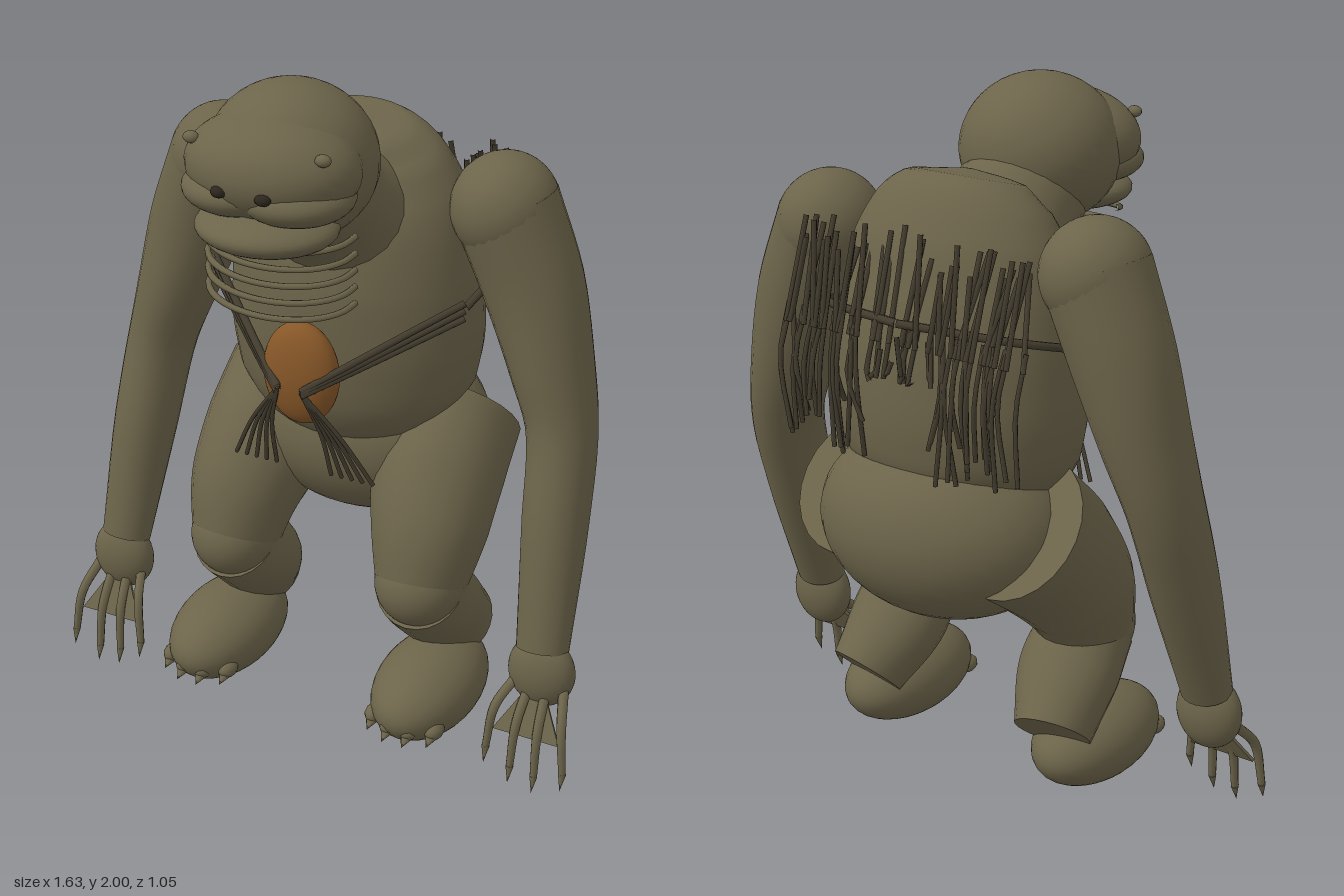
import * as THREE from 'three';

const material = (name, color) => {
  const m = new THREE.MeshStandardMaterial({ color });
  m.name = name;
  return m;
};
const V = (x, y, z) => new THREE.Vector3(x, y, z);

// Smooth skin over rows of [x, y, z, radiusSide, radiusDepth], with flat end caps
function limbGeometry(rows, steps = 24, sides = 24) {
  const curve = new THREE.CatmullRomCurve3(rows.map(r => V(r[0], r[1], r[2])));
  const radii = new THREE.CatmullRomCurve3(rows.map(r => V(r[3], r[4] ?? r[3], 0)));
  const pos = [], index = [], rings = [];
  for (let i = 0; i <= steps; i++) {
    const u = i / steps, c = curve.getPoint(u), r = radii.getPoint(u), t = curve.getTangent(u);
    const n1 = V(1, 0, 0).addScaledVector(t, -t.x).normalize();
    const n2 = t.clone().cross(n1);
    const ring = [];
    for (let j = 0; j <= sides; j++) {
      const a = (j % sides) / sides * Math.PI * 2;
      ring.push(c.clone().addScaledVector(n1, Math.cos(a) * r.x).addScaledVector(n2, Math.sin(a) * r.y));
    }
    rings.push(ring);
    ring.forEach(p => pos.push(p.x, p.y, p.z));
  }
  const w = sides + 1;
  for (let i = 0; i < steps; i++) for (let j = 0; j < sides; j++) {
    const a = i * w + j, b = i * w + (j + 1) % sides;
    index.push(a, b, b + w, a, b + w, a + w);
  }
  for (const end of [0, steps]) {
    const base = pos.length / 3, c = curve.getPoint(end / steps);
    pos.push(c.x, c.y, c.z);
    rings[end].forEach(p => pos.push(p.x, p.y, p.z));
    for (let j = 1; j <= sides; j++)
      index.push(base, ...(end ? [base + j, base + j + 1] : [base + j + 1, base + j]));
  }
  const g = new THREE.BufferGeometry();
  g.setAttribute('position', new THREE.Float32BufferAttribute(pos, 3));
  g.setIndex(index);
  g.computeVertexNormals();
  return g;
}

export function createModel() {
  const root = new THREE.Group();
  root.name = 'apeCreature';
  const hide = material('olive hide', 0x6c644a);
  const cord = material('dark cord', 0x443d2f);
  const amber = material('amber', 0x875728);
  const dark = material('dark nostril', 0x2c271d);

  const add = (name, geometry, mat = hide) => {
    const m = new THREE.Mesh(geometry, mat);
    m.name = name;
    root.add(m);
    return m;
  };
  const ball = (name, p, r, mat = hide, seg = 32) => {
    const m = add(name, new THREE.SphereGeometry(1, seg, Math.ceil(seg * 0.7)), mat);
    m.position.set(...p);
    m.scale.set(...r);
  };
  const limb = (name, rows, steps, sides) => add(name, limbGeometry(rows, steps, sides));
  const tube = (name, pts, r, mat, seg = 12) => add(name,
    new THREE.TubeGeometry(new THREE.CatmullRomCurve3(pts.map(p => V(...p))), seg, r, 6), mat);
  const claw = (name, a, b, r) => {
    const d = V(...b).sub(V(...a));
    const m = add(name, new THREE.ConeGeometry(r, d.length(), 8));
    m.position.set(...a).addScaledVector(d, 0.5);
    m.quaternion.setFromUnitVectors(V(0, 1, 0), d.normalize());
  };

  // Torso from [height, half width, front z, back z]
  const torso = [
    [0.86, 0.18, -0.03, -0.33], [0.95, 0.285, 0.06, -0.4], [1.05, 0.35, 0.11, -0.43],
    [1.2, 0.372, 0.125, -0.44], [1.35, 0.365, 0.125, -0.43], [1.5, 0.345, 0.1, -0.4],
    [1.62, 0.315, 0.06, -0.36], [1.72, 0.255, 0.03, -0.3], [1.78, 0.165, 0.0, -0.23], [1.8, 0.01, -0.1, -0.12],
  ];
  limb('torso', torso.map(([y, w, f, b]) => [0, y, (f + b) / 2, w, (f - b) / 2]), 36, 40);
  ball('pelvis', [0, 0.85, -0.235], [0.37, 0.27, 0.29]);
  limb('neck', [
    [0, 1.47, -0.13, 0.27, 0.23], [0, 1.565, -0.04, 0.235, 0.2],
    [0, 1.64, 0.075, 0.19, 0.175], [0, 1.71, 0.2, 0.17, 0.16],
  ]);

  // Head
  ball('cranium', [0, 1.79, 0.225], [0.228, 0.21, 0.222]);
  ball('face', [0, 1.81, 0.325], [0.237, 0.14, 0.178]);
  ball('lowerJaw', [0, 1.66, 0.36], [0.19, 0.06, 0.168]);
  for (const s of [1, -1]) {
    ball('muzzleLobe', [s * 0.08, 1.752, 0.35], [0.152, 0.068, 0.148]);
    ball('nostril', [s * 0.062, 1.785, 0.491], [0.022, 0.016, 0.02], dark, 12);
    ball('eye', [s * 0.185, 1.88, 0.41], [0.022, 0.016, 0.018], hide, 12);
  }

  // Beard made of sagging hoops under the chin
  for (let i = 0; i < 5; i++) {
    const y = 1.64 - i * 0.046, pts = [];
    for (let k = 0; k <= 10; k++) {
      const a = k / 10 * Math.PI, f = Math.sin(a);
      pts.push([Math.cos(a) * 0.21, y - f * 0.028, 0.28 + f * 0.13]);
    }
    tube('beardHoop', pts, 0.009, hide, 24);
  }

  for (const s of [1, -1]) {
    // Arm
    ball('shoulder', [s * 0.43, 1.6, -0.165], [0.147, 0.15, 0.155]);
    limb('arm', [
      [s * 0.43, 1.61, -0.165, 0.145, 0.152], [s * 0.515, 1.4, -0.17, 0.14], [s * 0.585, 1.18, -0.158, 0.116, 0.132],
      [s * 0.635, 1.0, -0.135, 0.097, 0.117], [s * 0.658, 0.75, -0.06, 0.092, 0.105], [s * 0.68, 0.4, 0.045, 0.075, 0.065],
    ]);
    ball('hand', [s * 0.685, 0.335, 0.055], [0.098, 0.11, 0.062]);

    // Fingers: [base x, knuckle x, tip x, tip y]
    const fingers = [[0.615, 0.585, 0.57, 0.06], [0.66, 0.65, 0.645, 0.015], [0.71, 0.715, 0.718, 0.005], [0.76, 0.785, 0.802, 0.04]];
    for (const [bx, kx, tx, ty] of fingers) {
      const k = [s * kx, ty + 0.18, 0.145], e = [s * tx, ty + 0.05, 0.165];
      limb('finger', [[s * bx, 0.3, 0.075, 0.015], [...k, 0.014], [...e, 0.011]], 10, 8);
      claw('fingerClaw', e, [s * tx, ty, 0.178], 0.012);
    }
    // Webbing between the fingers
    const web = new THREE.Shape([[-0.035, 0.06], [0.035, 0.06], [0.1, -0.06], [-0.1, -0.06]].map(p => new THREE.Vector2(...p)));
    const palm = add('palmWeb', new THREE.ExtrudeGeometry(web, { depth: 0.009, bevelEnabled: false }));
    palm.position.set(s * 0.682, 0.215, 0.115);
    palm.rotation.x = -0.5;

    // Leg
    limb('thigh', [
      [s * 0.262, 0.9, -0.268, 0.19, 0.212], [s * 0.272, 0.78, -0.13, 0.19, 0.2],
      [s * 0.293, 0.65, -0.03, 0.168, 0.175], [s * 0.3, 0.51, 0.035, 0.132, 0.14],
    ]);
    ball('knee', [s * 0.3, 0.51, 0.035], [0.131, 0.131, 0.139]);
    limb('shin', [[s * 0.3, 0.5, 0.04, 0.13, 0.135], [s * 0.298, 0.4, -0.055, 0.147, 0.13], [s * 0.325, 0.26, -0.185, 0.108, 0.118]]);

    // Foot with toes and claws
    ball('foot', [s * 0.335, 0.17, 0.03], [0.15, 0.125, 0.25]);
    for (let i = 0; i < 4; i++) {
      const k = i - 1.5, x = s * 0.335 + k * 0.062, z = 0.24 - k * k * 0.016;
      ball('toe', [x, 0.142, z], [0.028, 0.027, 0.038], hide, 12);
      claw('toeClaw', [x, 0.138, z + 0.01], [x, 0.115, z + 0.055], 0.024);
    }

    // Cord harness from the medallion to the ribs, then one cord round the back
    for (let i = 0; i < 3; i++) {
      const d = (i - 1) * 0.022;
      tube('harnessCord', [[s * 0.035, 1.14 + d * 0.3, 0.255], [s * 0.205, 1.24 + d * 0.7, 0.125], [s * 0.385, 1.345 + d, -0.02]], 0.011, cord);
    }
    tube('backCord', [[s * 0.385, 1.35, -0.02], [s * 0.395, 1.39, -0.16], [s * 0.3, 1.44, -0.34], [0, 1.46, -0.435]], 0.012, cord, 30);
    for (let i = 0; i < 5; i++)
      tube('tasselStrand', [[s * 0.035, 1.145, 0.255], [s * (0.075 + i * 0.015), 1.01, 0.215], [s * (0.085 + i * 0.032), 0.865, 0.172]], 0.006, cord);
  }
  ball('medallion', [0, 1.165, 0.182], [0.112, 0.15, 0.062], amber);

  // Ragged fringe over the back, longer and denser towards the sides
  let seed = 7;
  const rand = () => (seed = (seed * 16807) % 2147483647) / 2147483647;
  for (let i = 0; i < 42; i++) {
    const u = i / 41 * 2 - 1;
    const x = Math.sign(u) * Math.pow(Math.abs(u), 0.75) * 0.365;
    const j = () => (rand() - 0.5) * 0.05;
    const mid = x + j();
    const bottom = Math.abs(x) < 0.1 ? 1.28 : 1.05;
    tube('fringeRoot', [[x + j(), 1.6 + rand() * 0.1, -0.32 - rand() * 0.09], [mid, 1.4, -0.435]], 0.008, cord, 3);
    tube('fringeStrand', [[mid, 1.45, -0.42], [mid + j(), 1.3, -0.45], [mid + j(), bottom + rand() * 0.16, -0.42 - rand() * 0.045]], 0.007, cord, 6);
  }
  return root;
}
